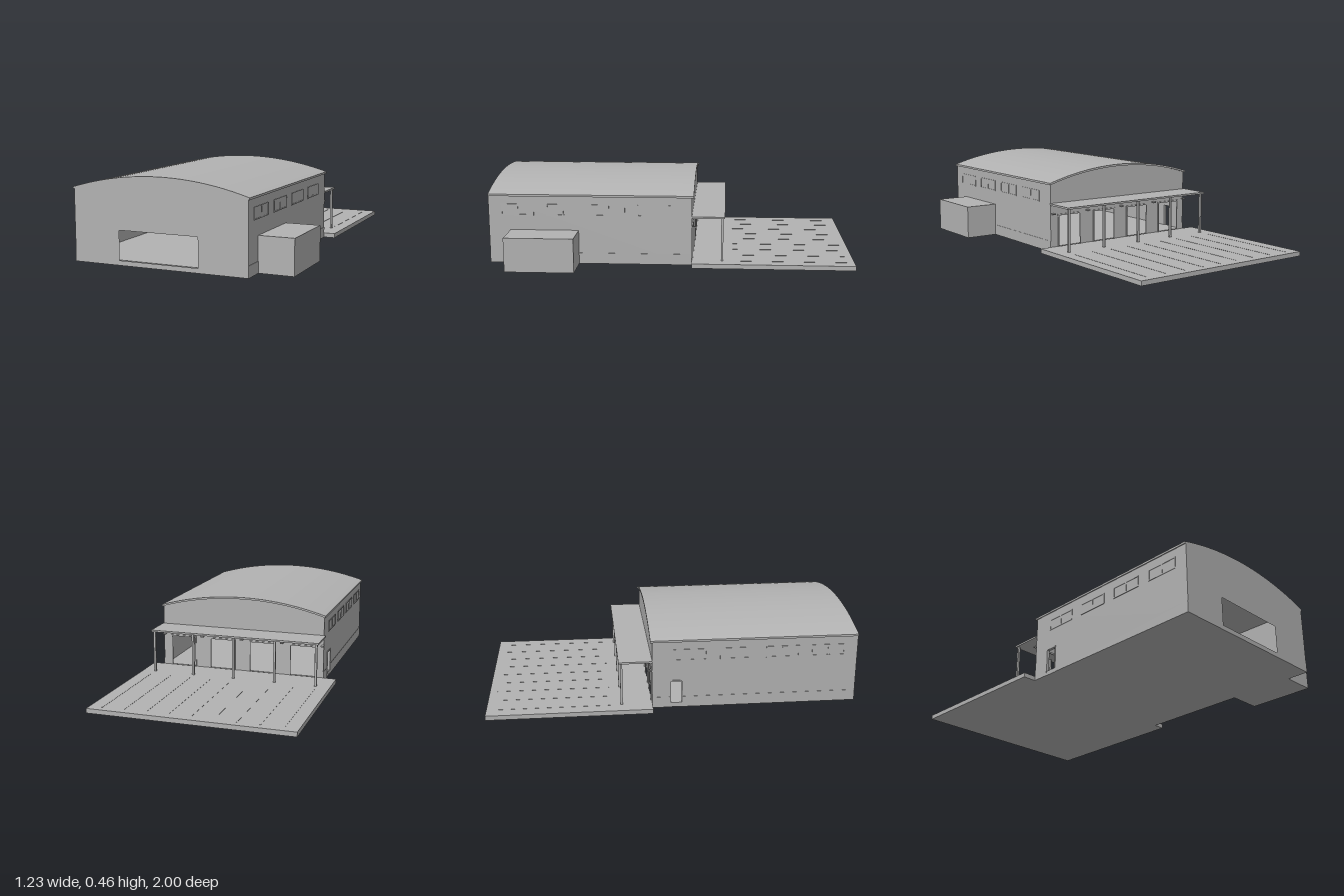
import * as THREE from 'three';

const CX = -0.0575;          // centre line of the hall
const HALF = 0.4825;         // half width of the walls
const BACK = -0.115, FRONT = 1;
const WALL = 0.012, FLOOR = 0.025;
const BAYS = [-0.42, -0.18, 0.06, 0.3];
const POSTS = [-0.535, -0.3, -0.06, 0.18, 0.415];

export function createModel() {
  const model = new THREE.Group();
  model.name = 'hall';
  const grey = new THREE.MeshStandardMaterial({ color: 0xb2b2b2 });
  grey.name = 'plain grey';

  function add(name, geometry, parent = model) {
    const mesh = new THREE.Mesh(geometry, grey);
    mesh.name = name;
    parent.add(mesh);
    return mesh;
  }
  // box given by its limits
  function box(name, x0, x1, y0, y1, z0, z1, parent) {
    const g = new THREE.BoxGeometry(x1 - x0, y1 - y0, z1 - z0);
    g.translate((x0 + x1) / 2, (y0 + y1) / 2, (z0 + z1) / 2);
    return add(name, g, parent);
  }
  function group(name) {
    const g = new THREE.Group();
    g.name = name;
    model.add(g);
    return g;
  }
  function hole(shape, x0, x1, y0, y1) {
    const h = new THREE.Path();
    h.moveTo(x0, y0).lineTo(x0, y1).lineTo(x1, y1).lineTo(x1, y0).closePath();
    shape.holes.push(h);
  }
  const extrude = (shape, depth) => new THREE.ExtrudeGeometry(shape, { depth, bevelEnabled: false });

  // points along the roof curve, from left to right
  function arc(half, eave, rise, n = 32) {
    const r = (half * half + rise * rise) / (2 * rise);
    const a = Math.asin(half / r);
    return Array.from({ length: n + 1 }, (_, i) => {
      const t = -a + (2 * a * i) / n;
      return new THREE.Vector2(CX + r * Math.sin(t), eave + rise - r + r * Math.cos(t));
    });
  }

  // floor, yard and parking lines
  box('floor', CX - HALF + WALL, CX + HALF - WALL, 0, FLOOR, BACK + WALL, FRONT - WALL);
  box('yard', -0.615, 0.49, 0, FLOOR, -1, BACK);
  const lines = group('parkingLines');
  for (let i = 0; i < 9; i++) {
    const x = -0.54 + i * 0.12;
    box('parkingLine', x - 0.003, x + 0.003, FLOOR, FLOOR + 0.001, -0.96, -0.34, lines);
  }

  // arched roof shell
  const roof = new THREE.Shape([...arc(0.49, 0.386, 0.074), ...arc(0.49, 0.375, 0.074).reverse()]);
  add('roof', extrude(roof, FRONT + 0.125)).position.z = -0.125;

  // end walls with their openings
  function endWall() {
    return new THREE.Shape([
      new THREE.Vector2(CX - HALF, 0), ...arc(HALF, 0.38, 0.074), new THREE.Vector2(CX + HALF, 0),
    ]);
  }
  const front = endWall();
  hole(front, -0.28, 0.16, FLOOR, 0.18);
  add('frontWall', extrude(front, WALL)).position.z = FRONT - WALL;
  const back = endWall();
  BAYS.forEach((x) => hole(back, x - 0.07, x + 0.07, FLOOR, 0.2));
  add('backWall', extrude(back, WALL)).position.z = BACK;

  // side walls, the right one with a small doorway
  for (const side of [-1, 1]) {
    const shape = new THREE.Shape();
    shape.moveTo(BACK + WALL, 0).lineTo(FRONT - WALL, 0).lineTo(FRONT - WALL, 0.382).lineTo(BACK + WALL, 0.382).closePath();
    if (side < 0) hole(shape, -0.015, 0.045, FLOOR, 0.15);
    const wall = add('sideWall', extrude(shape, WALL).rotateY(-Math.PI / 2));
    wall.position.x = side < 0 ? CX - HALF + WALL : CX + HALF;

    // raised trim lying on the outer face
    const face = CX + side * HALF;
    const trims = group('sideTrim');
    const trim = (name, z0, z1, y0, y1, d = 0.002) =>
      box(name, Math.min(face, face + side * d), Math.max(face, face + side * d), y0, y1, z0, z1, trims);
    if (side < 0) {
      trim('plinth', BACK, -0.021, 0, 0.06);
      trim('plinth', 0.051, FRONT, 0, 0.06);
      trim('doorJamb', -0.021, -0.015, FLOOR, 0.156, 0.004);
      trim('doorJamb', 0.045, 0.051, FLOOR, 0.156, 0.004);
      trim('doorHead', -0.015, 0.045, 0.15, 0.156, 0.004);
    } else {
      trim('plinth', BACK, FRONT, 0, 0.06);
    }
    // paired windows
    for (const z of [0.09, 0.34, 0.59, 0.84]) {
      trim('windowPane', z - 0.086, z + 0.086, 0.274, 0.326, 0.001);
      for (const y of [0.268, 0.326]) trim('windowRail', z - 0.09, z + 0.09, y, y + 0.006, 0.003);
      for (const dz of [-0.087, 0, 0.087]) trim('windowStile', z + dz - 0.003, z + dz + 0.003, 0.274, 0.326, 0.003);
    }
  }

  // lean-to block on the left side
  box('annex', CX + HALF, 0.613, 0, 0.187, 0.505, 0.88);

  // canopy on posts
  box('canopy', -0.55, 0.43, 0.262, 0.272, -0.295, BACK);
  for (const x of POSTS) {
    box('canopyPost', x - 0.006, x + 0.006, FLOOR, 0.262, -0.286, -0.274);
  }

  // dock door frames and lamps on the piers
  for (const x of BAYS) {
    const frame = group('dockFrame');
    for (const s of [-1, 1]) {
      const c = x + s * 0.074;
      box('jamb', c - 0.004, c + 0.004, FLOOR, 0.208, BACK - 0.005, BACK, frame);
    }
    box('head', x - 0.07, x + 0.07, 0.2, 0.208, BACK - 0.005, BACK, frame);
  }
  for (const x of POSTS) {
    box('wallLamp', x - 0.008, x + 0.008, 0.21, 0.216, -0.14, BACK);
  }
  return model;
}
